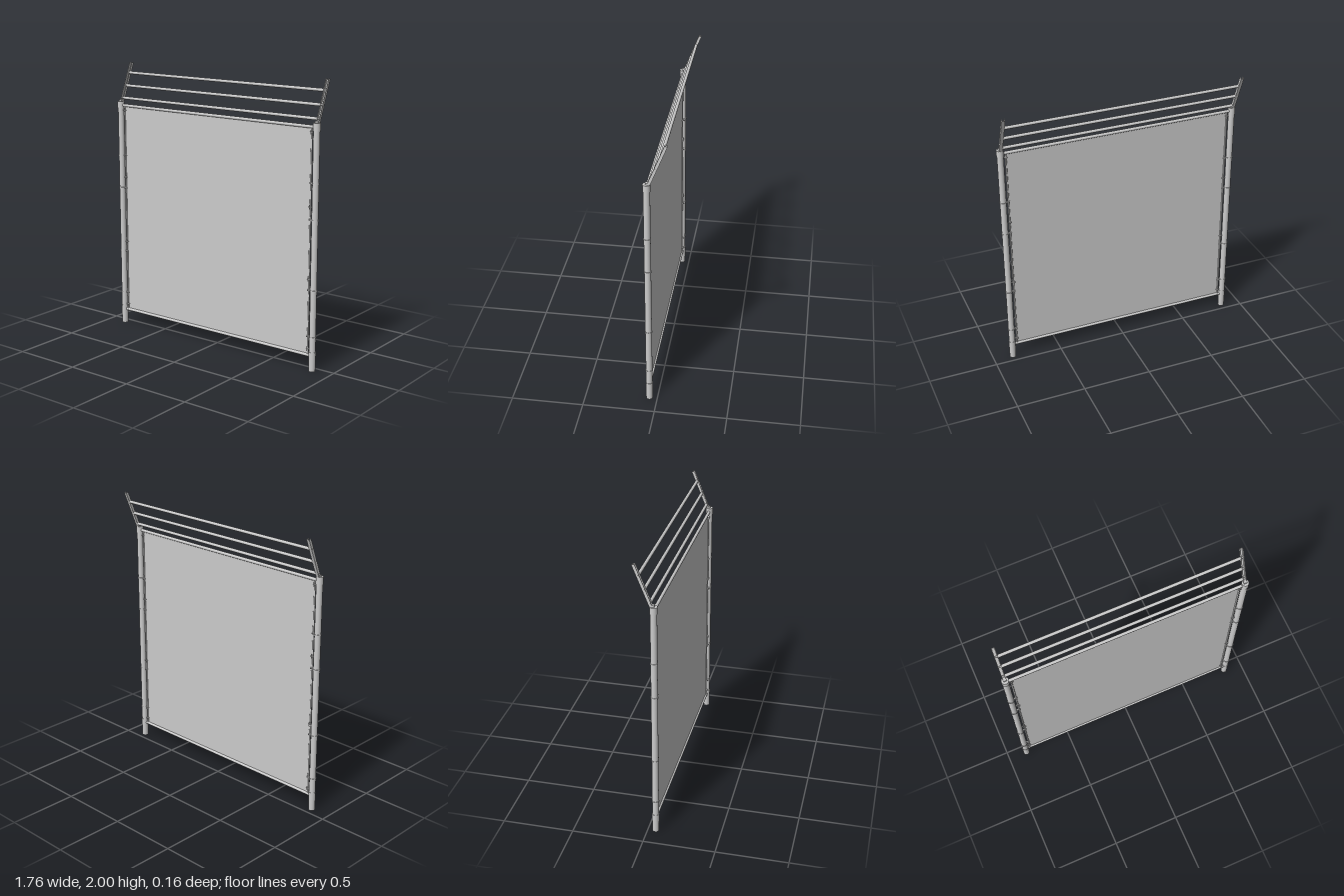
import * as THREE from 'three';

const Z = 0.055; // plane of the fence
const POST_X = 0.857;

export function createModel() {
  const root = new THREE.Group();
  const mat = new THREE.MeshStandardMaterial({ color: 0xcccccc });
  const sheet = new THREE.MeshStandardMaterial({ color: 0xcccccc, side: THREE.DoubleSide });

  function add(name, geo, x, y, z, parent = root, material = mat) {
    const m = new THREE.Mesh(geo, material);
    m.name = name;
    m.position.set(x, y, z);
    parent.add(m);
    return m;
  }
  const tubeX = (r, len) => new THREE.CylinderGeometry(r, r, len, 16).rotateZ(Math.PI / 2);
  const tubeY = (r, len) => new THREE.CylinderGeometry(r, r, len, 24);

  // Infill sheet and its frame
  add('meshPanel', new THREE.PlaneGeometry(1.636, 1.58), 0, 0.9, Z, root, sheet);
  add('topRail', tubeX(0.011, 1.67), 0, 1.69, Z);
  add('bottomRail', tubeX(0.011, 1.67), 0, 0.11, Z);

  // Slanted arm: U channel with its web to the front and open to the back
  const foot = new THREE.Vector2(0.043, 1.715); // z, y
  const tip = new THREE.Vector2(-0.07, 1.995);
  const armLength = foot.distanceTo(tip);
  const tilt = Math.atan2(tip.x - foot.x, tip.y - foot.y);
  const w = 0.0115, d = 0.01, t = 0.003;
  const channel = new THREE.Shape([
    [-w, -d], [w, -d], [w, d], [w - t, d], [w - t, -d + t],
    [-w + t, -d + t], [-w + t, d], [-w, d],
  ].map(([x, y]) => new THREE.Vector2(x, y)));
  const armGeo = new THREE.ExtrudeGeometry(channel, { depth: armLength, bevelEnabled: false })
    .rotateX(-Math.PI / 2);
  // Extrusion now runs along +y; turn the web to the front
  armGeo.rotateY(Math.PI / 1);
  armGeo.computeBoundingBox();
  const webZ = 1;

  for (const s of [-1, 1]) {
    const side = new THREE.Group();
    side.name = s > 0 ? 'leftPost' : 'rightPost';
    root.add(side);
    const x = s * POST_X;

    // Post with ground sleeve and cap
    add('post', tubeY(0.0225, 1.71), x, 0.855, Z, side);
    add('groundSleeve', new THREE.CylinderGeometry(0.025, 0.023, 0.14, 24), x, 0.07, Z, side);
    add('postCap', tubeY(0.0255, 0.05), x, 1.693, Z, side);

    // Slim tension bar along the sheet edge
    add('tensionBar', tubeY(0.006, 1.58), s * 0.82, 0.9, Z, side);

    // Clamp bands reaching from the post to the tension bar
    for (const y of [0.245, 0.575, 1.065, 1.315]) {
      add('clampBand', tubeY(0.0255, 0.01), x, y, Z, side);
      add('clampTab', new THREE.BoxGeometry(0.045, 0.009, 0.012), s * 0.832, y, Z, side);
      add('clampBolt', new THREE.CylinderGeometry(0.004, 0.004, 0.03, 8).rotateX(Math.PI / 2),
        s * 0.818, y, Z, side);
    }

    // Small wire ties hooking the sheet to the frame
    for (const y of [0.155, 0.65, 1.15, 1.655]) {
      const tie = new THREE.TorusGeometry(0.011, 0.003, 6, 14).rotateX(Math.PI / 2);
      add('wireTie', tie, s * 0.82, y, Z, side);
      add('tieTail', new THREE.BoxGeometry(0.005, 0.03, 0.02), s * 0.817, y, Z, side);
    }

    // Overhanging arm
    const arm = add('overhangArm', armGeo, x, foot.y, foot.x, side);
    arm.rotation.x = tilt;
    arm.scale.z = webZ;
    add('armFoot', new THREE.BoxGeometry(0.024, 0.022, 0.028), x, 1.72, 0.048, side);
  }

  // Overhang bars strung between the arms
  for (const y of [1.742, 1.83, 1.922]) {
    const k = (y - foot.y) / (tip.y - foot.y);
    const z = foot.x + (tip.x - foot.x) * k;
    add('overhangBar', tubeX(0.011, 1.695), 0, y, z);
    add('barBolt', tubeX(0.006, POST_X * 2 + 0.025), 0, y, z);
  }
  return root;
}
